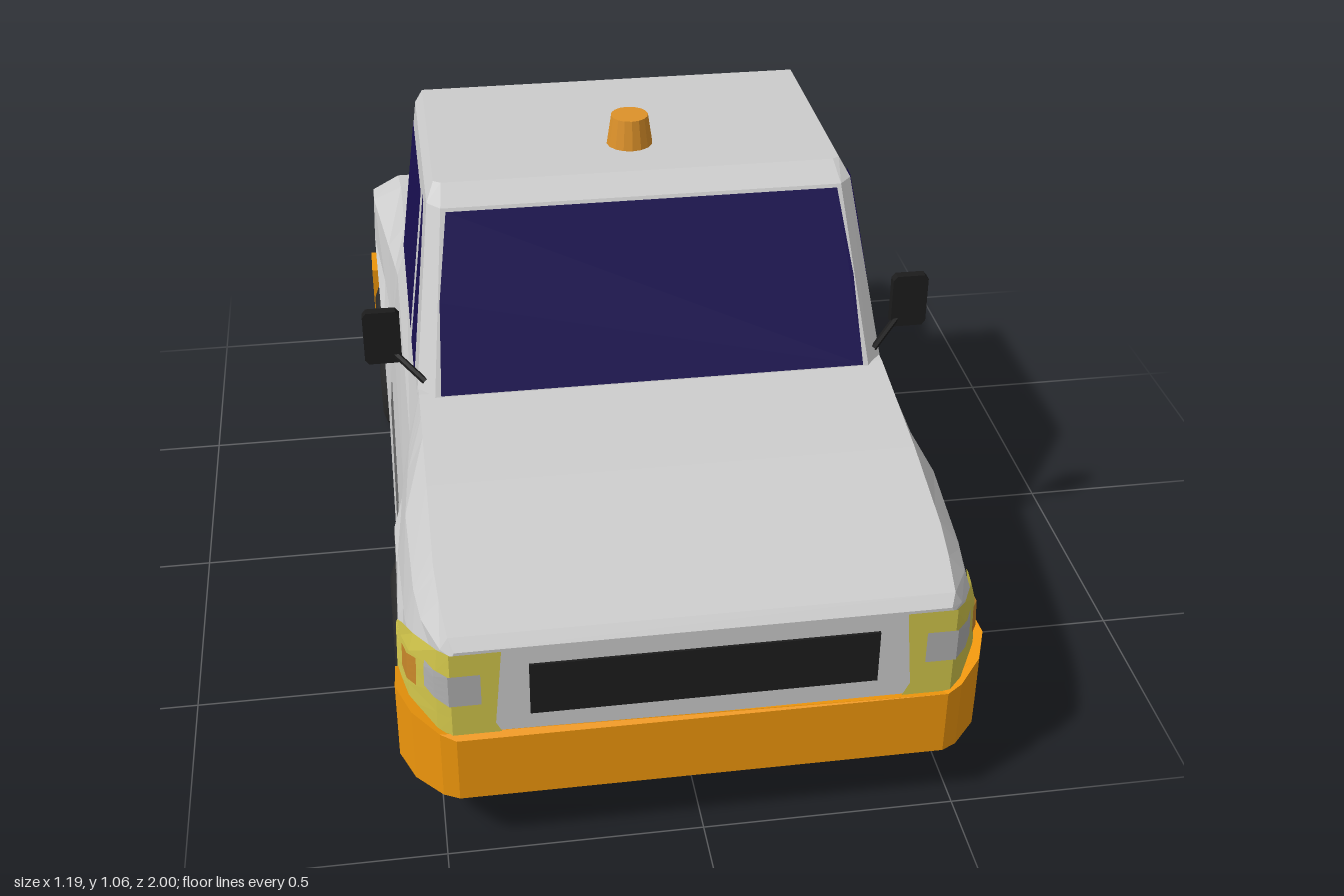
import * as THREE from 'three';

const GREY = 0xcccccc, ORANGE = 0xee960c, GLASS = 0x180f50, BLACK = 0x1c1c1c, TRIM = 0x666666;

const mat = (color, flat = true) =>
  new THREE.MeshStandardMaterial({ color, flatShading: flat, side: THREE.DoubleSide });
const shape = pts => new THREE.Shape(pts.map(p => new THREE.Vector2(...p)));
const mirrored = pts => [...pts, ...pts.map(([x, ...r]) => [-x, ...r]).reverse()];

// Key sections: z, sill width, belt width, shoulder y and width, top y and width
const FORM = [
  [0.985, 0.47, 0.47, 0.47, 0.47, 0.48, 0.465],
  [0.965, 0.50, 0.495, 0.475, 0.49, 0.50, 0.475],
  [0.88, 0.555, 0.54, 0.48, 0.52, 0.52, 0.485],
  [0.80, 0.565, 0.55, 0.49, 0.53, 0.54, 0.49],
  [0.60, 0.56, 0.555, 0.52, 0.535, 0.585, 0.49],
  [0.33, 0.56, 0.535, 0.53, 0.515, 0.626, 0.49],
  [-0.335, 0.56, 0.535, 0.55, 0.515, 0.612, 0.49],
  [-0.70, 0.565, 0.565, 0.575, 0.56, 0.605, 0.49],
  [-0.77, 0.565, 0.565, 0.57, 0.56, 0.605, 0.495],
  [-0.90, 0.56, 0.56, 0.49, 0.555, 0.51, 0.53],
];
// Wheel arch outlines as z, y; they also set the sill height
const FRONT_ARCH = [[0.82, 0.14], [0.80, 0.29], [0.76, 0.39], [0.46, 0.39], [0.40, 0.30], [0.38, 0.14]];
const REAR_ARCH = [[-0.335, 0.14], [-0.37, 0.34], [-0.47, 0.435], [-0.70, 0.435], [-0.81, 0.31], [-0.815, 0.14]];
const SILL = [...FRONT_ARCH, ...REAR_ARCH];

// Interpolates a table whose first column falls from row to row
function lookup(table, key) {
  const k = THREE.MathUtils.clamp(key, table.at(-1)[0], table[0][0]);
  const i = table.findIndex((row, n) => n > 0 && row[0] <= k);
  const a = table[i - 1], b = table[i], t = (a[0] - k) / (a[0] - b[0]);
  return a.slice(1).map((v, n) => v + (b[n + 1] - v) * t);
}

// Half section of the body at z: [y, half width] from sill to top
function section(z) {
  const [sw, bw, hy, hw, ty, tw] = lookup(FORM, z);
  const [sy] = lookup(SILL, z);
  return [[sy, sw], [Math.max(0.42, sy + 0.03), bw], [hy, hw], [ty, tw]];
}
const skinX = (z, y) => lookup(section(z).reverse(), y)[0];

// Surface through rows of 3D points
function grid(rows) {
  const n = rows[0].length, index = [];
  for (let r = 0; r < rows.length - 1; r++) for (let c = 0; c < n - 1; c++) {
    const a = r * n + c, b = a + n;
    index.push(a, b, a + 1, b, b + 1, a + 1);
  }
  return fromPoints(rows.flat(), index);
}

// Flat polygon as a fan
function fan(pts) {
  const index = [];
  for (let i = 1; i < pts.length - 1; i++) index.push(0, i, i + 1);
  return fromPoints(pts, index);
}

function fromPoints(pts, index) {
  const g = new THREE.BufferGeometry();
  g.setAttribute('position', new THREE.Float32BufferAttribute(pts.flat(), 3));
  g.setIndex(index);
  const out = g.toNonIndexed();
  out.computeVertexNormals();
  return out;
}

export function createModel() {
  const model = new THREE.Group();
  const add = (name, geo, color, flat = true) => {
    const m = new THREE.Mesh(geo, mat(color, flat));
    m.name = name;
    model.add(m);
  };
  const box = (name, x0, x1, y0, y1, z0, z1, color) =>
    add(name, new THREE.BoxGeometry(Math.abs(x1 - x0), y1 - y0, z1 - z0)
      .translate((x0 + x1) / 2, (y0 + y1) / 2, (z0 + z1) / 2), color);

  // Lower body with hood and rear deck
  const stations = [...new Set([...FORM, ...SILL].map(r => r[0]))].sort((a, b) => b - a);
  const rows = stations.map(z => mirrored(section(z).map(([y, w]) => [w, y, z])));
  add('body', grid(rows), GREY);
  add('nosePanel', fan(rows[0]), GREY);
  add('tailPanel', fan([...rows.at(-1)].reverse()), GREY);

  // Cabin rings: y, front edge x/z, side edge x/z, rear z
  const rings = [
    [0.60, 0.46, 0.355, 0.495, 0.315, -0.39],
    [0.97, 0.42, 0.17, 0.447, 0.14, -0.387],
    [1.0, 0.415, 0.11, 0.43, 0.10, -0.383],
  ].map(([y, fx, fz, sx, sz, rz]) => mirrored([[sx, y, rz], [sx, y, sz], [fx, y, fz]]));
  add('cabin', grid(rings.map(r => [...r, r[0]])), GREY);
  add('roof', fan([...rings[2]].reverse()), GREY);

  // Windscreen
  add('windscreen', fan(mirrored([[0.445, 0.628], [0.435, 0.8], [0.41, 0.965]])
    .map(([x, y]) => [x, y, 0.36 - 0.5 * (y - 0.6)])), GLASS);
  const sideWindows = {
    QuarterWindow: [[0.26, 0.63], [0.11, 0.63], [0.088, 0.968], [0.12, 0.965], [0.165, 0.88]],
    DoorWindow: [[0.065, 0.63], [-0.335, 0.63], [-0.335, 0.945], [0.035, 0.945]],
  };

  // Floor with wheel notches
  const floor = [[0.47, 0.985], [0.5, 0.965], [0.565, 0.82], [0.41, 0.82], [0.41, 0.38], [0.56, 0.38],
    [0.56, -0.335], [0.41, -0.335], [0.41, -0.815], [0.56, -0.815], [0.56, -0.9]];
  add('floor', new THREE.ShapeGeometry(shape(mirrored(floor)))
    .rotateX(Math.PI / 2).translate(0, 0.141, 0), 0x333333);

  // Front bumper wrapping around the corners, its top rising at the ends
  const outer = mirrored([[0.575, 0.80], [0.578, 0.86], [0.55, 0.93], [0.50, 0.985], [0.47, 1.0]]);
  const inner = outer.map(([x, z]) => [x * 0.95, z - (z > 0.9 ? 0.03 : 0)]).reverse();
  const bumper = new THREE.ExtrudeGeometry(shape([...outer, ...inner]), { depth: 0.14, bevelEnabled: false })
    .rotateX(Math.PI / 2).translate(0, 0.28, 0);
  const bp = bumper.attributes.position;
  for (let i = 0; i < bp.count; i++)
    if (bp.getY(i) > 0.2) bp.setY(i, 0.28 + 0.25 * Math.max(0, Math.abs(bp.getX(i)) - 0.46));
  bumper.computeVertexNormals();
  add('frontBumper', bumper, ORANGE);
  box('grille', -0.33, 0.33, 0.325, 0.44, 0.97, 0.99, BLACK);

  // Wheel profiles: radius, distance along the axle
  const lathe = pts => new THREE.LatheGeometry(pts.map(p => new THREE.Vector2(...p)), 28);
  const tyre = [[0.1, -0.06], [0.15, -0.06], [0.175, -0.05], [0.185, -0.03], [0.185, 0.03],
    [0.176, 0.05], [0.15, 0.06], [0.125, 0.058], [0.117, 0.045]];
  const hub = [[0.118, 0.045], [0.112, 0.033], [0.1, 0.045], [0.08, 0.042], [0.073, 0.028],
    [0.048, 0.03], [0.043, 0.045], [0.02, 0.05], [0, 0.05]];

  for (const s of [1, -1]) {
    const side = s > 0 ? 'left' : 'right';
    // Patch lying on the body side: rows of z, low y, high y
    const patch = (name, strip, offset, color) => add(side + name, grid(strip.map(([z, lo, hi]) =>
      [0, 0.25, 0.5, 0.75, 1].map(t => {
        const y = lo + (hi - lo) * t;
        return [s * (skinX(z, y) + offset), y, z];
      }))), color);
    const front = (name, pts, z, color) => add(side + name, fan(pts.map(([x, y]) => [s * x, y, z])), color);
    const rect = (x0, x1, y0, y1) => [[x0, y0], [x1, y0], [x1, y1], [x0, y1]];

    // Side windows on the leaning cabin wall
    for (const [name, pts] of Object.entries(sideWindows))
      add(side + name, fan(pts.map(([z, y]) => [s * (0.5 - 0.13 * (y - 0.6)), y, z])), GLASS);

    // Wraparound headlamp with clear lens and amber indicator
    front('HeadlampFront', [[0.395, 0.31], [0.38, 0.28], [0.476, 0.28], [0.476, 0.477], [0.38, 0.477], [0.395, 0.45]], 0.989, 0xd0c44a);
    patch('HeadlampSide', [[0.989, 0.28, 0.477], [0.965, 0.28, 0.475], [0.88, 0.29, 0.45],
      [0.80, 0.29, 0.415], [0.765, 0.385, 0.395]], 0.006, 0xd0c44a);
    front('LensFront', rect(0.42, 0.48, 0.36, 0.43), 0.992, 0xb0b0b0);
    patch('LensSide', [[0.991, 0.36, 0.43], [0.965, 0.365, 0.43], [0.935, 0.37, 0.43]], 0.01, 0xb0b0b0);
    patch('Indicator', [[0.91, 0.35, 0.415], [0.88, 0.345, 0.405], [0.825, 0.335, 0.385]], 0.01, 0xc8862a);

    // Door rubbing strip
    patch('SideStrip', [[0.30, 0.265, 0.34], [-0.17, 0.295, 0.37]], 0.006, TRIM);

    // Wheels and wheel wells
    for (const [end, z, arch] of [['Front', 0.60, FRONT_ARCH], ['Rear', -0.585, REAR_ARCH]]) {
      const place = g => g.rotateZ(-s * Math.PI / 2).translate(s * 0.515, 0.185, z);
      add(side + end + 'Tyre', place(lathe(tyre)), 0x2b2b2b, false);
      add(side + end + 'Hub', place(lathe(hub)), 0x6a6a6a, false);
      add(side + end + 'WheelWell', grid(arch.map(([az, y]) => [[s * 0.41, y, az], [s * skinX(az, y), y, az]])), TRIM);
      add(side + end + 'WellWall', fan(arch.map(([az, y]) => [s * 0.41, y, az])), TRIM);
    }

    // Mirror on its stalk
    const arm = new THREE.LineCurve3(new THREE.Vector3(s * 0.475, 0.645, 0.31), new THREE.Vector3(s * 0.535, 0.695, 0.268));
    add(side + 'MirrorArm', new THREE.TubeGeometry(arm, 1, 0.007, 6), BLACK);
    const housing = mirrored([[0.03, -0.06], [0.038, -0.05], [0.038, 0.05], [0.03, 0.06]]);
    add(side + 'MirrorHousing', new THREE.ExtrudeGeometry(shape(housing), { depth: 0.02, bevelEnabled: false })
      .translate(s * 0.557, 0.735, 0.256), BLACK);
    front('MirrorGlass', rect(0.527, 0.587, 0.685, 0.785), 0.254, GLASS);

    // Rear bumper halves and tail lamps
    box(side + 'RearBumper', s * 0.16, s * 0.58, 0.14, 0.31, -0.918, -0.9, ORANGE);
    box(side + 'RearBumperEnd', s * 0.555, s * 0.58, 0.14, 0.31, -0.9, -0.815, ORANGE);
    box(side + 'TailLamp', s * 0.36, s * 0.43, 0.39, 0.42, -0.906, -0.89, 0xcc2222);
  }

  // Tow hook
  const hook = new THREE.CatmullRomCurve3([[0.18, -0.89], [0.18, -0.95], [0.18, -0.975], [0.19, -0.988], [0.213, -0.99]]
    .map(([y, z]) => new THREE.Vector3(0, y, z)));
  add('towHook', new THREE.TubeGeometry(hook, 14, 0.01, 8), 0x777777, false);

  // Roof beacon
  add('beacon', new THREE.CylinderGeometry(0.04, 0.05, 0.067, 16).translate(0, 1.031, -0.035), 0xdd922a);
  return model;
}
